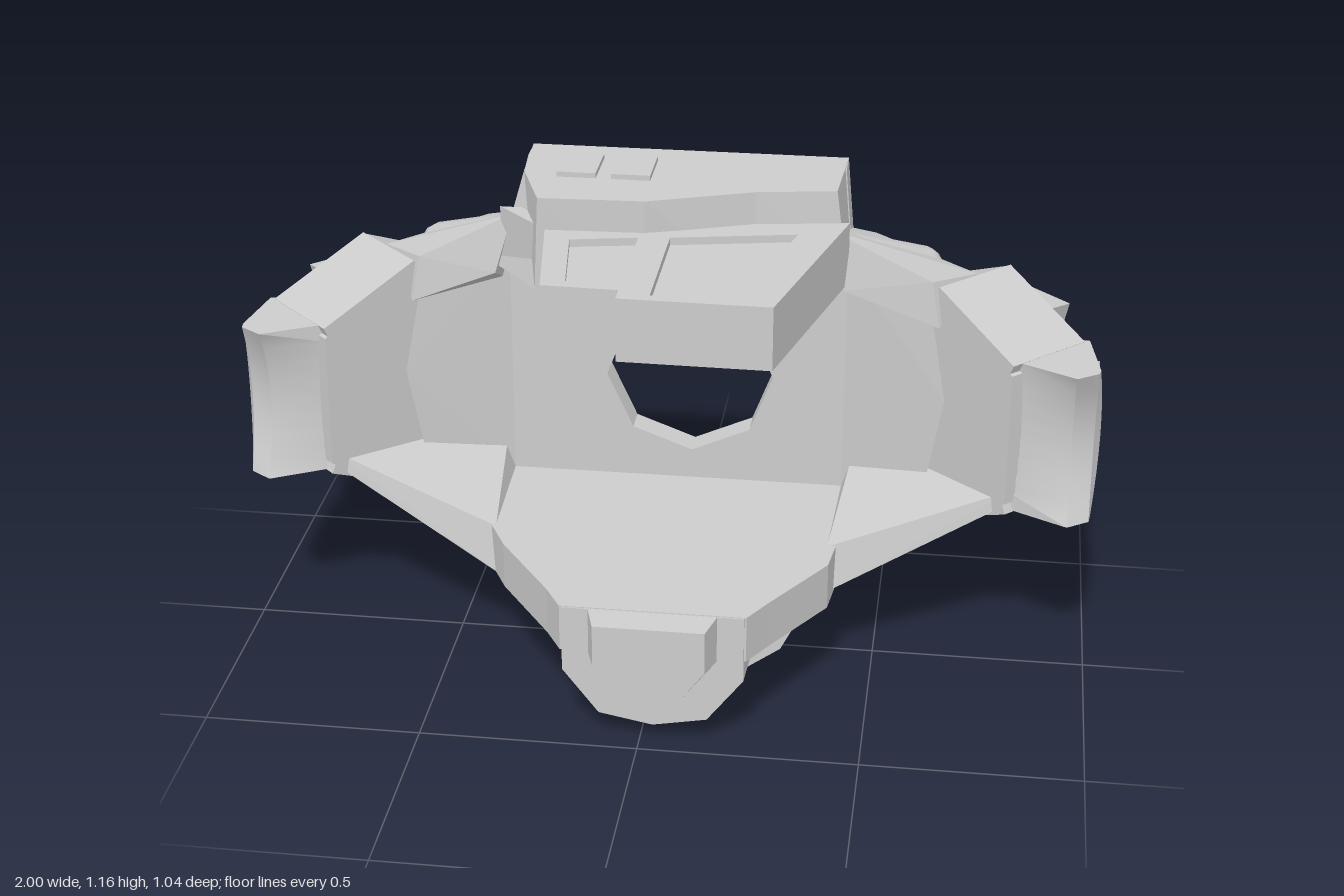
import * as THREE from 'three';
import { ConvexGeometry } from 'three/addons/geometries/ConvexGeometry.js';
import { toCreasedNormals } from 'three/addons/utils/BufferGeometryUtils.js';

const hullGrey = new THREE.MeshStandardMaterial({ color: 0xcccccc });

function add(parent, name, geometry) {
  const mesh = new THREE.Mesh(geometry, hullGrey);
  mesh.name = name;
  parent.add(mesh);
  return mesh;
}

const path = (pts, s) => new THREE.Shape(pts.map(([x, y]) => new THREE.Vector2(x, y * s)));

// Vertical slab from a plan outline of [x, z] points
function slab(pts, y0, y1, holes = []) {
  const shape = path(pts, -1);
  holes.forEach(h => shape.holes.push(path(h, -1)));
  return new THREE.ExtrudeGeometry(shape, { depth: y1 - y0, bevelEnabled: false })
    .rotateX(-Math.PI / 2).translate(0, y0, 0);
}

// Flat-sided skin through equal rings of [x, y, z] points, with end caps
function loft(rings) {
  const tris = [], n = rings[0].length;
  for (let r = 0; r + 1 < rings.length; r++) {
    for (let i = 0; i < n; i++) {
      const j = (i + 1) % n, a = rings[r], b = rings[r + 1];
      tris.push([a[i], a[j], b[j]], [a[i], b[j], b[i]]);
    }
  }
  const last = rings[rings.length - 1];
  for (let i = 1; i + 1 < n; i++) {
    tris.push([rings[0][0], rings[0][i + 1], rings[0][i]], [last[0], last[i], last[i + 1]]);
  }
  // Turn every face outward, judged by the enclosed volume
  let volume = 0;
  const v = p => new THREE.Vector3(...p);
  tris.forEach(t => { volume += v(t[0]).dot(v(t[1]).cross(v(t[2]))); });
  if (volume < 0) tris.forEach(t => t.reverse());
  const g = new THREE.BufferGeometry();
  g.setAttribute('position', new THREE.Float32BufferAttribute(tris.flat(2), 3));
  g.computeVertexNormals();
  return g;
}

const hull = (pts, s) => new ConvexGeometry(pts.map(([x, y, z]) => new THREE.Vector3(x * s, y, z)));

// Rounded bar between two points
function bar(parent, name, a, b, radius) {
  const p = new THREE.Vector3(...a), q = new THREE.Vector3(...b);
  const m = add(parent, name, new THREE.CapsuleGeometry(radius, p.distanceTo(q), 4, 12));
  m.position.copy(p).add(q).multiplyScalar(0.5);
  m.quaternion.setFromUnitVectors(new THREE.Vector3(0, 1, 0), q.sub(p).normalize());
}

// Hexagonal side pod with dome, hatches and scooped flare
function createArm() {
  const arm = new THREE.Group();
  const pod = new THREE.Group();
  pod.name = 'pod';
  pod.position.set(0.785, 0.6, -0.305);
  pod.rotation.y = Math.PI * 0.75;
  arm.add(pod);
  const hex = [[0, 0.295], [0.252, 0.187], [0.252, -0.187], [0, -0.295], [-0.25, -0.162], [-0.25, 0.162]];
  const ring = (s, z) => hex.map(([x, y]) => [x * s, y * s, z]);
  add(pod, 'podBody', loft([ring(1, -0.24), ring(1, -0.02), ring(0.95, 0)]));

  // Low dome in an octagonal collar held by four clamps
  const collar = new THREE.CylinderGeometry(0.158, 0.17, 0.09, 8).toNonIndexed()
    .rotateY(Math.PI / 8).rotateX(Math.PI / 2).translate(0, 0, 0.04);
  collar.computeVertexNormals();
  add(pod, 'domeCollar', collar);
  add(pod, 'dome', new THREE.SphereGeometry(0.145, 24, 10, 0, Math.PI * 2, 0, Math.PI / 2)
    .rotateX(Math.PI / 2).scale(1, 1, 0.62).translate(0, 0, 0.08));
  for (let i = 0; i < 4; i++) {
    const edge = (w, y, z) => [[-w, y, z], [w, y, z]];
    const clamp = add(pod, 'domeClamp', loft([
      [...edge(0.07, 0.14, 0), ...edge(0.095, 0.205, 0).reverse()],
      [...edge(0.07, 0.14, 0.105), ...edge(0.085, 0.195, 0.105).reverse()],
    ]));
    clamp.rotation.z = i * Math.PI / 2;
  }

  // Sunken hatches in the two sloping front facets
  const rect = (w, d, x = 0) => [[x - w, -d], [x + w, -d], [x + w, d], [x - w, d]];
  for (const s of [1, -1]) {
    const holder = new THREE.Group();
    holder.rotation.x = s > 0 ? 0 : Math.PI;
    pod.add(holder);
    const frame = add(holder, 'hatchFrame', slab(rect(0.137, 0.113), -0.035, 0, [rect(0.085, 0.07, -0.015)]));
    frame.position.set(-0.126, 0.242, -0.127 * s);
    frame.rotation.z = 0.407;
  }

  // Scooped flare on the front side of the pod
  const rows = [];
  for (let i = 0; i <= 8; i++) {
    const t = i / 4 - 1, e = t * t, y = 0.6 + 0.187 * t;
    rows.push([
      [0.93, y, -0.13], [0.965, y, -0.125], [1 - 0.012 * e, y, -0.02 + 0.055 * e],
      [0.985, y, 0.01 + 0.045 * e], [0.935, y, 0.03 + 0.06 * e], [0.79, y, 0.01], [0.76, y, 0.0],
    ]);
  }
  add(arm, 'flare', toCreasedNormals(loft(rows), 0.5));
  return arm;
}

export function createModel() {
  const model = new THREE.Group();
  model.name = 'hull';
  const cx = 0.03;

  // Back plate with octagonal opening
  const plate = path([[-0.41, 0.22], [-0.28, 0.22], [-0.22, 0.12], [-0.1, 0.04], [cx, 0.03], [0.16, 0.04],
    [0.28, 0.12], [0.34, 0.22], [0.41, 0.22], [0.41, 0.33], [0.62, 0.6], [0.41, 0.92], [0.39, 1.145],
    [-0.35, 1.145], [-0.41, 0.92], [-0.62, 0.6], [-0.41, 0.33]], 1);
  const hole = [];
  for (let i = 0; i < 8; i++) {
    const a = i * Math.PI / 4 + 0.03;
    hole.push([cx + 0.2 * Math.cos(a), 0.603 + 0.197 * Math.sin(a)]);
  }
  plate.holes.push(path(hole, 1));
  add(model, 'backPlate', new THREE.ExtrudeGeometry(plate, { depth: 0.07, bevelEnabled: false }).translate(0, 0, -0.28));

  // Side pods: the second is a half turn of the first
  const leftArm = createArm();
  leftArm.name = 'leftArm';
  const rightArm = createArm();
  rightArm.name = 'rightArm';
  rightArm.position.y = 1.2;
  rightArm.rotation.z = Math.PI;
  model.add(leftArm, rightArm);

  // Fairings between the body and the pods
  for (const s of [1, -1]) {
    add(model, 'upperShoulder', hull([[0.36, 1.06, -0.05], [0.38, 0.98, -0.28], [0.4, 0.92, -0.03], [0.41, 0.9, -0.28],
      [0.46, 0.97, -0.27], [0.6, 0.91, -0.13], [0.7, 0.9, -0.22], [0.43, 0.785, -0.32], [0.6, 0.895, -0.3], [0.62, 0.8, -0.12]], s));
    add(model, 'lowerShoulder', hull([[0.39, 0.33, 0.1], [0.39, 0.22, 0.12], [0.8, 0.45, 0], [0.78, 0.41, 0.01],
      [0.39, 0.22, -0.28], [0.4, 0.33, -0.22], [0.58, 0.25, -0.16], [0.7, 0.3, -0.22], [0.6, 0.305, -0.3], [0.43, 0.415, -0.32]], s));
    add(model, 'wallCorner', hull([[0.4, 0.33, -0.21], [0.4, 0.92, -0.21], [0.42, 0.6, -0.28], [0.4, 0.6, -0.21],
      [0.64, 0.62, -0.11], [0.6, 0.84, -0.13], [0.6, 0.38, -0.13]], s));
    bar(model, 'upperStrut', [0.42 * s, 0.97, -0.13], [0.57 * s, 0.9, -0.245], 0.05);
    bar(model, 'lowerStrut', [0.4 * s, 0.265, -0.15], [0.56 * s, 0.3, -0.245], 0.05);
  }

  // Upper deck block
  add(model, 'upperDeck', loft([
    [[-0.41, -0.28], [0.41, -0.28], [0.41, -0.05], [0.2, -0.02], [-0.04, 0.06], [-0.29, 0.07], [-0.4, -0.06]].map(([x, z]) => [x, 0.928, z]),
    [[-0.35, -0.28], [0.39, -0.28], [0.38, -0.06], [0.2, -0.03], [-0.04, 0.06], [-0.28, 0.07], [-0.34, -0.1]].map(([x, z]) => [x, 1.148, z]),
  ]));
  for (const x of [-0.215, -0.09]) {
    add(model, 'deckTab', new THREE.BoxGeometry(0.09, 0.02, 0.13)).position.set(x, 1.15, -0.135);
  }

  // Forward canopy with a raised rim around two inset panels
  const canopy = [[-0.39, -0.06], [-0.265, 0.065], [-0.22, 0.385], [-0.05, 0.39], [-0.05, 0.435], [0.285, 0.44], [0.41, -0.06]];
  add(model, 'canopy', slab(canopy, 0.927, 1.055));
  add(model, 'canopyRim', slab(canopy, 1.055, 1.073, [
    [[0.02, 0.08], [0.3, 0.025], [0.21, 0.41], [0.02, 0.41]],
    [[-0.2, 0.12], [-0.05, 0.09], [-0.05, 0.36], [-0.17, 0.355]],
  ]));

  // Lower shelf
  add(model, 'lowerShelf', slab([[-0.41, -0.28], [-0.4, 0.1], [-0.355, 0.19], [-0.22, 0.385], [-0.18, 0.455],
    [0.24, 0.455], [0.28, 0.385], [0.4, 0.19], [0.41, 0.1], [0.41, -0.28]], 0.22, 0.332));

  // Nose and its tip share one U-shaped section
  const u = (w, y0, z, top = 0.33) => [[-1, 1], [-1, 0.45], [-0.6, 0.08], [0, 0], [0.6, 0.08], [1, 0.45], [1, 1]]
    .map(([x, y]) => [cx + x * w, y0 + y * (top - y0), z]);
  add(model, 'nose', loft([u(0.22, 0.025, -0.1), u(0.215, 0.025, 0.2), u(0.205, 0.04, 0.458)]));
  add(model, 'noseTip', loft([u(0.15, 0.12, 0.44, 0.331), u(0.125, 0.142, 0.525, 0.325)]));

  // Keel drum: faceted half barrel with two low rims
  const half = (k, z) => [[-0.33, 0.33], [-0.32, 0.22], [-0.265, 0.11], [-0.14, 0.02], [0, 0], [0.14, 0.02],
    [0.265, 0.11], [0.32, 0.22], [0.33, 0.33]].map(([x, y]) => [cx + x * k, 0.33 + (y - 0.33) * k, z]);
  add(model, 'keelDrum', loft([half(0.955, 0), half(0.955, 0.2)]));
  add(model, 'keelRim', loft([half(1, 0), half(1, 0.04)]));
  add(model, 'keelRim', loft([half(1, 0.165), half(1, 0.205)]));
  add(model, 'keelTail', loft([half(0.88, 0), half(0.86, -0.28)]));

  // Raised ribs along the tail of the drum
  const tail = half(1, 0), back = half(0.91, -0.28);
  const inner = half(0.82, 0), innerBack = half(0.8, -0.28);
  for (const [i, j] of [[1, 2], [3, 4], [4, 5], [6, 7]]) {
    add(model, 'keelRib', loft([[tail[i], tail[j], inner[j], inner[i]], [back[i], back[j], innerBack[j], innerBack[i]]]));
  }
  return model;
}
